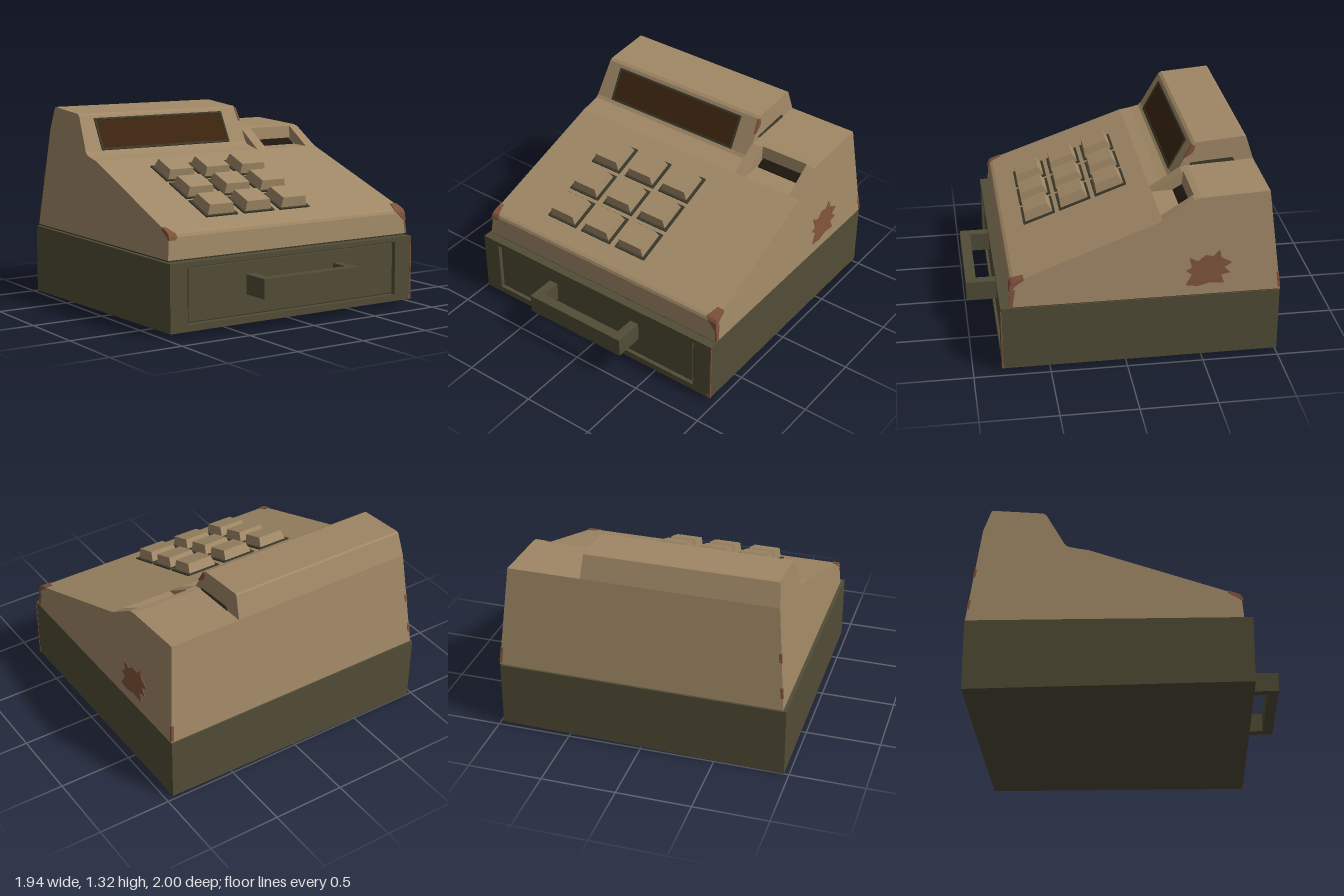
import * as THREE from 'three';

const mat = (name, color) => Object.assign(new THREE.MeshStandardMaterial({ color }), { name });

export function createModel() {
  const model = new THREE.Group();
  model.name = 'cashRegister';
  const beige = mat('beigeCasing', 0xa08866);
  const olive = mat('oliveMetal', 0x524d36);
  const dark = mat('darkTrim', 0x3a392a);
  const glass = mat('brownDisplay', 0x3c2510);
  const rust = mat('rust', 0x80533b);
  const slotBlack = mat('slotShadow', 0x1e1710);

  const add = (name, geo, material, parent = model) => {
    const mesh = new THREE.Mesh(geo, material);
    mesh.name = name;
    parent.add(mesh);
    return mesh;
  };
  const box = (name, x0, x1, y0, y1, z0, z1, material, parent) => {
    const g = new THREE.BoxGeometry(x1 - x0, y1 - y0, z1 - z0);
    g.translate((x0 + x1) / 2, (y0 + y1) / 2, (z0 + z1) / 2);
    return add(name, g, material, parent);
  };

  // Sloping side walls of the casing
  const leftWall = y => -0.947 + 0.09 * (y - 0.48);
  const rightWall = y => 0.965 - 0.09 * (y - 0.48);
  const housingWall = y => 0.42 - 0.07 * Math.max(0, y - 1.05);
  const fixed = x => () => x;

  // A (z, y) side profile extruded between two walls given as x = f(y)
  const slab = (name, profile, xl, xr, material) => {
    const shape = new THREE.Shape(profile.map(([z, y]) => new THREE.Vector2(-z, y)));
    const g = new THREE.ExtrudeGeometry(shape, { depth: 1, bevelEnabled: false });
    g.rotateY(Math.PI / 2);
    const p = g.attributes.position;
    for (let i = 0; i < p.count; i++) {
      const y = p.getY(i);
      p.setX(i, THREE.MathUtils.lerp(xl(y), xr(y), p.getX(i)));
    }
    g.computeVertexNormals();
    return add(name, g, material);
  };

  // Base cabinet with one sagging rear corner
  const base = box('baseCabinet', -0.967, 0.963, 0.03, 0.47, -1, 0.77, olive);
  const bp = base.geometry.attributes.position;
  for (let i = 0; i < bp.count; i++) {
    if (bp.getY(i) < 0.1 && bp.getX(i) < 0 && bp.getZ(i) < 0) bp.setY(i, 0);
  }
  box('baseSeam', -0.94, 0.955, 0.46, 0.485, -0.985, 0.75, dark);

  // Drawer front: frame with an opening, sunken panel and handle
  const rect = (C, x0, x1, y0, y1) => new C([[x0, y0], [x1, y0], [x1, y1], [x0, y1]]
    .map(([x, y]) => new THREE.Vector2(x, y)));
  const frame = rect(THREE.Shape, -0.967, 0.963, 0.03, 0.47);
  frame.holes.push(rect(THREE.Path, -0.84, 0.825, 0.075, 0.44));
  const frameGeo = new THREE.ExtrudeGeometry(frame, { depth: 0.045, bevelEnabled: false });
  frameGeo.translate(0, 0, 0.767);
  add('drawerFrame', frameGeo, olive);
  box('drawerGroove', -0.84, 0.825, 0.075, 0.44, 0.766, 0.774, dark);
  box('drawerPanel', -0.825, 0.81, 0.088, 0.427, 0.76, 0.797, olive);
  const handle = new THREE.Group();
  handle.name = 'drawerHandle';
  model.add(handle);
  box('handleGrip', -0.39, 0.368, 0.215, 0.345, 0.93, 1, olive, handle);
  box('handleArmRight', -0.39, -0.325, 0.215, 0.345, 0.78, 0.93, olive, handle);
  box('handleArmLeft', 0.303, 0.368, 0.215, 0.345, 0.78, 0.93, olive, handle);

  // Upper casing: display housing, then printer side with its paper recess
  const front = [[-1, 0.48], [0.757, 0.48], [0.746, 0.62], [0.738, 0.638], [0.72, 0.65], [-0.23, 1]];
  const back = [[-0.92, 1.16]];
  const housing = [...front, [-0.31, 1.015], [-0.365, 1.03], [-0.385, 1.05], [-0.51, 1.28],
    [-0.53, 1.293], [-0.86, 1.32], [-0.872, 1.313], ...back];
  const printer = [...front, [-0.43, 1.13], [-0.48, 1.14], ...back];
  const recess = [...front, [-0.37, 1.005], [-0.43, 1.04], [-0.44, 1.132], [-0.48, 1.14], ...back];
  slab('displayHousing', housing, leftWall, housingWall, beige);
  slab('printerInnerSide', printer, fixed(0.41), fixed(0.49), beige);
  slab('printerRecess', recess, fixed(0.49), fixed(0.84), beige);
  slab('printerOuterSide', printer, fixed(0.84), rightWall, beige);
  slab('paperSlot', [[-0.37, 1.003], [-0.37, 1.011], [-0.43, 1.046], [-0.433, 1.038]],
    fixed(0.5), fixed(0.83), slotBlack);
  slab('housingGap', [[-0.49, 1.13], [-0.5, 1.155], [-0.6, 1.165], [-0.78, 1.178], [-0.8, 1.15]],
    fixed(0.39), y => housingWall(y) + 0.004, dark);

  // Display window lying on the tilted housing face
  const display = new THREE.Group();
  display.name = 'display';
  display.position.set(-0.25, 1.155, -0.442);
  display.rotation.x = -Math.atan2(0.125, 0.23);
  model.add(display);
  box('displayGlass', -0.508, 0.508, -0.106, 0.106, -0.004, 0.004, glass, display);
  for (const s of [-1, 1]) {
    const rimH = box('displayRim', -0.52, 0.52, -0.007, 0.007, -0.004, 0.009, dark, display);
    rimH.position.y = s * 0.112;
    const rimV = box('displayRim', -0.007, 0.007, -0.112, 0.112, -0.004, 0.009, dark, display);
    rimV.position.x = s * 0.513;
  }

  // Nine keys on the slope, each a tapered cap over a dark surround
  const capGeo = new THREE.BoxGeometry(0.205, 0.065, 0.195).toNonIndexed();
  const cp = capGeo.attributes.position;
  for (let i = 0; i < cp.count; i++) {
    if (cp.getY(i) > 0) {
      cp.setX(i, cp.getX(i) * 0.88);
      cp.setZ(i, cp.getZ(i) * 0.84);
    }
  }
  capGeo.computeVertexNormals();
  const tilt = Math.atan2(0.35, 0.95);
  for (const z of [0.485, 0.245, 0.005]) {
    for (const x of [-0.437, -0.147, 0.14]) {
      const key = new THREE.Group();
      key.name = 'key';
      key.position.set(x, 0.65 + (0.72 - z) * 0.35 / 0.95, z);
      key.rotation.x = tilt;
      model.add(key);
      box('keySurround', -0.122, 0.122, -0.01, 0.009, -0.113, 0.113, dark, key);
      add('keyCap', capGeo, beige, key).position.y = 0.04;
    }
  }

  // Rust patch on the left wall
  const onWall = [y => rightWall(y) - 0.01, y => rightWall(y) + 0.004];
  slab('rustPatch', [[-0.38, 0.55], [-0.42, 0.62], [-0.38, 0.65], [-0.42, 0.67], [-0.4, 0.74],
    [-0.46, 0.71], [-0.51, 0.75], [-0.56, 0.74], [-0.6, 0.78], [-0.61, 0.73], [-0.68, 0.69],
    [-0.63, 0.66], [-0.67, 0.62], [-0.61, 0.61], [-0.63, 0.55], [-0.54, 0.56], [-0.46, 0.54]],
  ...onWall, rust);

  // Worn front corners
  const corner = [[0.757, 0.57], [0.752, 0.625], [0.741, 0.644], [0.722, 0.655], [0.66, 0.678],
    [0.66, 0.66], [0.71, 0.63], [0.735, 0.6], [0.74, 0.57]];
  slab('rustCornerLeft', corner, y => 0.87 + Math.abs(y - 0.645) * 1, y => rightWall(y) + 0.004, rust);
  slab('rustCornerRight', corner.map(([z, y]) => [z, 0.62 + (y - 0.62) * (y < 0.62 ? 0.3 : 1)]),
    y => leftWall(y) - 0.003, y => -0.87 - Math.abs(y - 0.63) * 0.8, rust);
  slab('rustFrontEdge', [[0.758, 0.485], [0.747, 0.6], [0.715, 0.6], [0.735, 0.485]], ...onWall, rust);

  // Worn rear corners
  const rearChip = (y0, y1, xl, xr) => {
    const z = y => -1 + 0.08 * (y - 0.48) / 0.68;
    slab('rustRearEdge', [[z(y0) - 0.003, y0], [z(y1) - 0.003, y1], [z(y1) + 0.012, y1],
      [z(y0) + 0.012, y0]], xl, xr, rust);
  };
  for (const [y0, y1] of [[0.56, 0.63], [0.8, 0.86]]) {
    rearChip(y0, y1, y => leftWall(y) - 0.003, y => leftWall(y) + 0.015);
  }
  rearChip(0.49, 0.6, y => rightWall(y) - 0.015, y => rightWall(y) + 0.003);

  // Chips on the housing edge and on the base corner
  slab('rustHousingEdge', [[-0.455, 1.19], [-0.507, 1.283], [-0.53, 1.27], [-0.52, 1.23], [-0.48, 1.2]],
    y => housingWall(y) - 0.01, y => housingWall(y) + 0.004, rust);
  box('rustBaseEdge', 0.957, 0.965, 0.06, 0.45, 0.805, 0.814, rust);
  box('rustBaseCorner', 0.94, 0.965, 0.032, 0.06, 0.8, 0.815, rust);

  return model;
}
